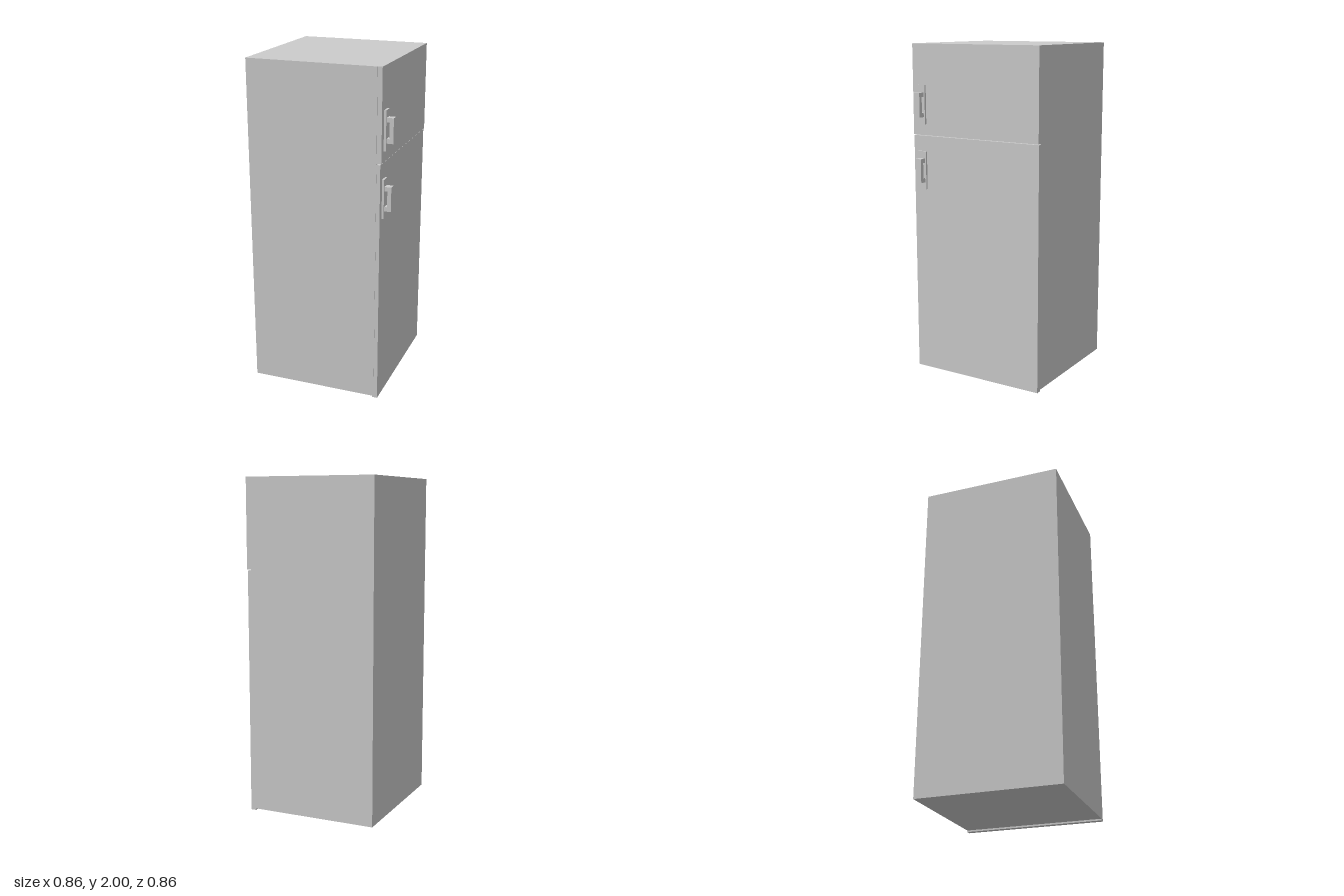
import * as THREE from 'three';

const material = new THREE.MeshStandardMaterial({ color: 0xcccccc, flatShading: true });

// Box given by its lower and upper corners
function box(name, [x0, y0, z0], [x1, y1, z1]) {
  const mesh = new THREE.Mesh(new THREE.BoxGeometry(x1 - x0, y1 - y0, z1 - z0), material);
  mesh.position.set((x0 + x1) / 2, (y0 + y1) / 2, (z0 + z1) / 2);
  mesh.name = name;
  return mesh;
}

// Mounting plate with a C-shaped grip standing out along +x
function handle(name, x, y, z) {
  const group = new THREE.Group();
  group.name = name;
  group.add(box('handlePlate', [0, -0.115, -0.028], [0.013, 0.115, 0.028]));

  const shape = new THREE.Shape([
    [0.012, -0.072], [0.053, -0.072], [0.053, 0.072], [0.012, 0.072],
    [0.012, 0.046], [0.03, 0.046], [0.03, -0.046], [0.012, -0.046],
  ].map(([px, py]) => new THREE.Vector2(px, py)));
  const geometry = new THREE.ExtrudeGeometry(shape, { depth: 0.04, bevelEnabled: false });
  geometry.translate(0, 0, -0.02);
  const grip = new THREE.Mesh(geometry, material);
  grip.name = 'handleGrip';
  group.add(grip);

  group.position.set(x, y, z);
  return group;
}

export function createModel() {
  const fridge = new THREE.Group();
  fridge.name = 'refrigerator';

  // Cabinet
  fridge.add(box('cabinet', [-0.43, 0.01, -0.43], [0.345, 2, 0.43]));

  // Doors, with a narrow gap between them
  fridge.add(box('freezerDoor', [0.34, 1.466, -0.43], [0.372, 2, 0.426]));
  fridge.add(box('fridgeDoor', [0.335, 0, -0.43], [0.367, 1.46, 0.428]));

  // Handles near the opening edge
  fridge.add(handle('freezerHandle', 0.372, 1.645, 0.362));
  fridge.add(handle('fridgeHandle', 0.366, 1.253, 0.365));
  return fridge;
}
